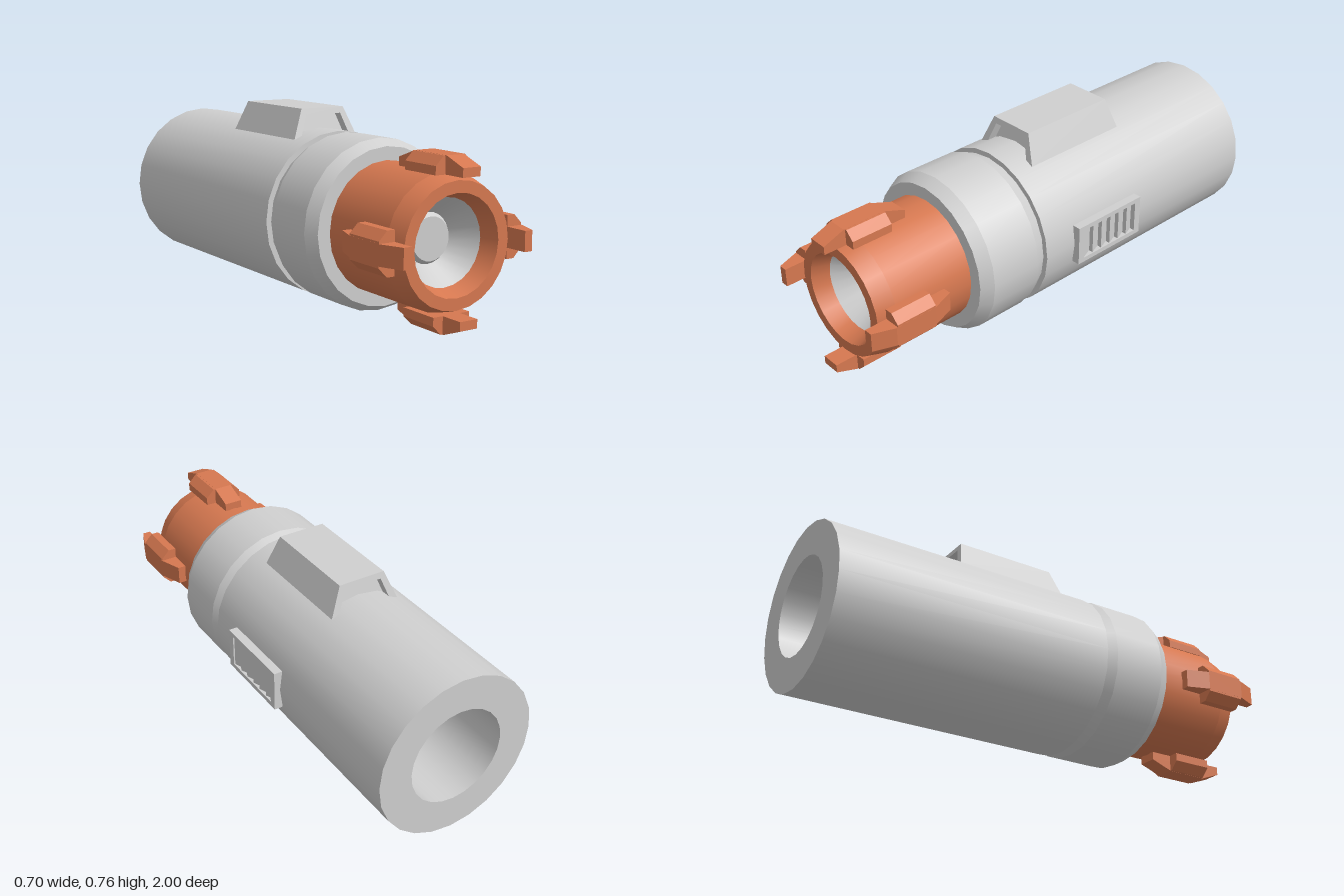
import * as THREE from 'three';
import { mergeGeometries } from 'three/addons/utils/BufferGeometryUtils.js';

const SIDES = 24;
const grey = new THREE.MeshStandardMaterial({ color: 0xcfcfcf });
grey.name = 'light grey';
const orange = new THREE.MeshStandardMaterial({ color: 0xd67850 });
orange.name = 'burnt orange';

function part(name, geometry, material) {
  const mesh = new THREE.Mesh(geometry, material);
  mesh.name = name;
  return mesh;
}

// Turned part along z from [radius, z] points: smooth around, crisp between bands
function turned(points) {
  const bands = [];
  for (let i = 0; i < points.length - 1; i++) {
    const pair = [points[i], points[i + 1]].map(([r, z]) => new THREE.Vector2(r, z));
    bands.push(new THREE.LatheGeometry(pair, SIDES));
  }
  return mergeGeometries(bands).rotateX(Math.PI / 2);
}

const toShape = (pts) => new THREE.Shape(pts.map(([x, y]) => new THREE.Vector2(x, y)));

// Extrusion centred on z
function prism(shape, depth) {
  return new THREE.ExtrudeGeometry(shape, { depth, bevelEnabled: false }).translate(0, 0, -depth / 2);
}

// Lug with a long tapered bar and a pair of chamfered wings, built at the top
function makeLug(name) {
  const lug = new THREE.Group();
  lug.name = name;
  const bar = prism(toShape([
    [-1, 0.254], [-0.635, 0.254], [-0.635, 0.288], [-0.73, 0.322], [-0.91, 0.322], [-1, 0.288],
  ]), 0.078).rotateY(Math.PI / 2);
  const wings = prism(toShape([
    [-0.082, 0.254], [0.082, 0.254], [0.082, 0.287], [0.047, 0.3215], [-0.047, 0.3215], [-0.082, 0.287],
  ]), 0.175).translate(0, 0, 0.817);
  lug.add(part('lugBar', bar, orange), part('lugWings', wings, orange));
  return lug;
}

// Housing pieces lean outwards at both ends towards the base
function leanEnds(geometry) {
  const p = geometry.attributes.position;
  for (let i = 0; i < p.count; i++) {
    p.setZ(i, p.getZ(i) + Math.sign(p.getZ(i)) * (0.422 - p.getY(i)) * 0.22);
  }
  geometry.computeVertexNormals();
  return geometry.translate(0, 0, -0.157);
}

function makeTopHousing() {
  const housing = new THREE.Group();
  housing.name = 'topHousing';
  const frame = toShape([
    [-0.15, 0.302], [-0.118, 0.302], [-0.083, 0.397], [0.083, 0.397],
    [0.118, 0.302], [0.15, 0.302], [0.1, 0.422], [-0.1, 0.422],
  ]);
  const core = toShape([[-0.118, 0.302], [0.118, 0.302], [0.083, 0.397], [-0.083, 0.397]]);
  housing.add(
    part('housingFrame', leanEnds(prism(frame, 0.434)), grey),
    part('housingCore', leanEnds(prism(core, 0.35)), grey),
  );
  return housing;
}

// Framed louvre panel on the model's left
function makeSideVent() {
  const vent = new THREE.Group();
  vent.name = 'sideVent';
  const w = 0.178, h = 0.085, iw = 0.148, ih = 0.066;
  const outline = toShape([[-w, -h], [w, -h], [w, h], [-w, h]]);
  outline.holes.push(new THREE.Path([
    [-iw, -ih], [-iw, ih], [iw, ih], [iw, -ih],
  ].map(([x, y]) => new THREE.Vector2(x, y))));
  const frame = prism(outline, 0.07).rotateY(Math.PI / 2).translate(0.328, 0, 0);
  vent.add(part('ventFrame', frame, grey));
  const back = new THREE.BoxGeometry(0.03, 2 * ih, 2 * iw).translate(0.325, 0, 0);
  vent.add(part('ventBack', back, grey));
  // Slats slope down towards the rear
  const pitch = (2 * iw) / 6;
  for (let i = 0; i < 6; i++) {
    const z = iw - i * pitch;
    const slat = prism(toShape([
      [0.338, -z + 0.004], [0.359, -z + 0.004], [0.341, -z + pitch], [0.338, -z + pitch],
    ].reverse()), 2 * ih).rotateX(-Math.PI / 2);
    vent.add(part('ventSlat', slat, grey));
  }
  vent.position.z = -0.15;
  return vent;
}

export function createModel() {
  const model = new THREE.Group();
  model.name = 'cylindricalDevice';

  // Hollow rear tube, groove and front collar
  model.add(part('bodyTube', turned([
    [0, -0.2], [0.2, -0.2], [0.2, -1], [0.338, -1], [0.338, 0.18], [0.316, 0.18],
  ]), grey));
  model.add(part('frontCollar', turned([
    [0.316, 0.18], [0.338, 0.23], [0.338, 0.455], [0.31, 0.505], [0.25, 0.505],
  ]), grey));

  // Nozzle with a bevelled mouth
  model.add(part('nozzle', turned([
    [0.257, 0.5], [0.257, 0.855], [0.235, 0.93], [0.19, 0.93], [0.165, 0.86],
  ]), orange));

  // Funnel and central emitter inside the mouth
  model.add(part('funnel', turned([[0.165, 0.86], [0.097, 0.76]]), grey));
  model.add(part('emitter', turned([[0.097, 0.76], [0.083, 0.78], [0, 0.78]]), grey));

  // Four lugs around the nozzle
  ['topLug', 'leftLug', 'bottomLug', 'rightLug'].forEach((name, i) => {
    const lug = makeLug(name);
    lug.rotation.z = (-i * Math.PI) / 2;
    model.add(lug);
  });

  model.add(makeTopHousing(), makeSideVent());

  // Shift from the tube axis to the standing position
  for (const child of model.children) {
    child.position.x -= 0.013;
    child.position.y += 0.338;
  }
  return model;
}
